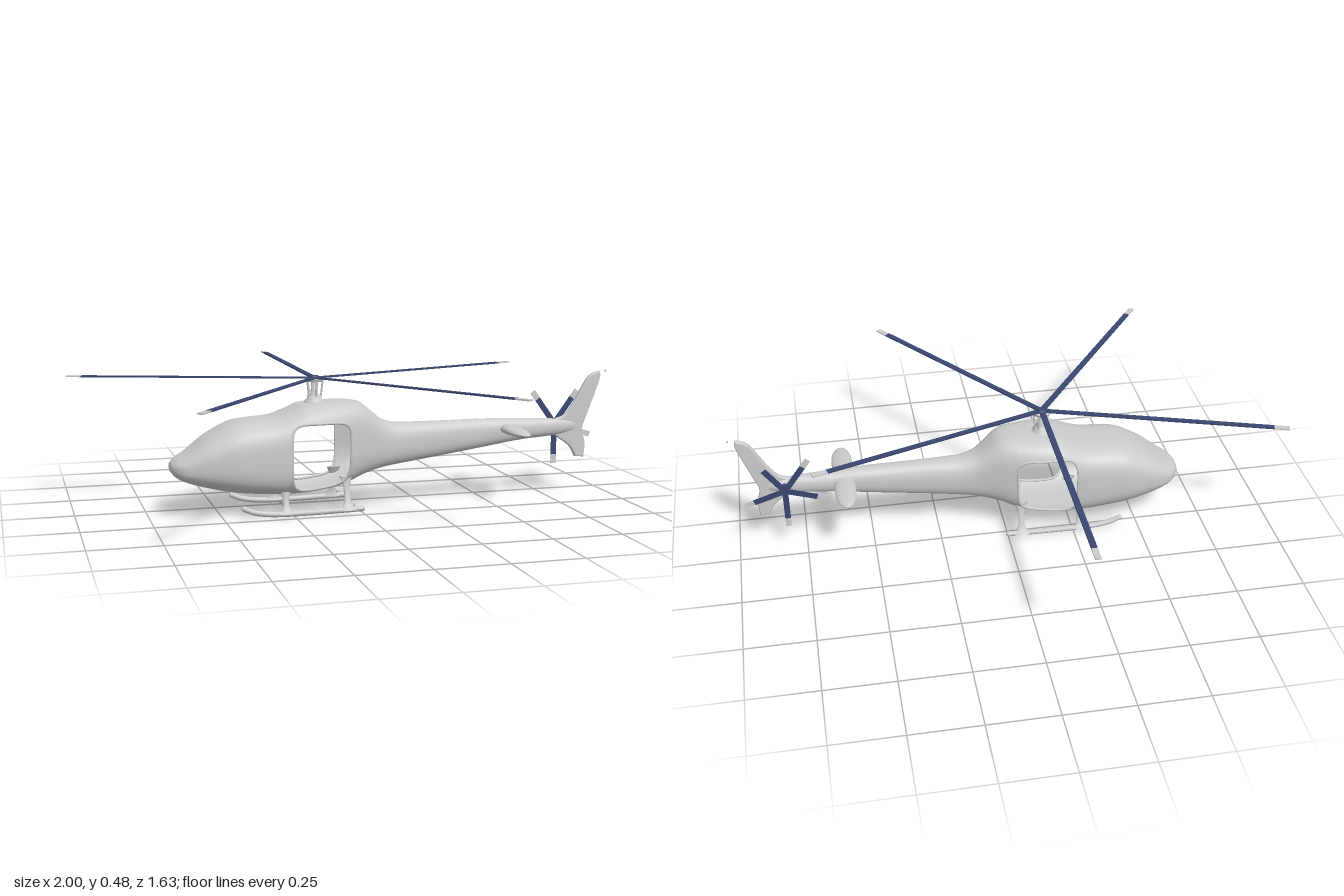
import * as THREE from 'three';
import { mergeGeometries, mergeVertices } from 'three/addons/utils/BufferGeometryUtils.js';

const grey = new THREE.MeshStandardMaterial({ color: 0xcccccc });
const shell = new THREE.MeshStandardMaterial({ color: 0xcccccc, side: THREE.DoubleSide });
const blue = new THREE.MeshStandardMaterial({ color: 0x3a4670 });
const CZ = 0.087; // centre plane of the fuselage

// Fuselage stations: x, bottom, top, half width, squareness
const STATIONS = [
  [-0.67, 0.16, 0.19, 0.04, 2.4], [-0.655, 0.142, 0.205, 0.07, 2.5], [-0.62, 0.124, 0.225, 0.1, 2.6],
  [-0.53, 0.098, 0.29, 0.133, 2.8], [-0.43, 0.079, 0.333, 0.147, 3], [-0.3, 0.069, 0.345, 0.147, 3.3],
  [-0.25, 0.068, 0.362, 0.146, 3.4], [-0.19, 0.07, 0.385, 0.143, 3.5], [-0.12, 0.078, 0.391, 0.136, 3.5],
  [-0.04, 0.095, 0.392, 0.119, 3.4], [0.01, 0.115, 0.387, 0.102, 3.2], [0.06, 0.13, 0.352, 0.083, 3],
  [0.11, 0.141, 0.314, 0.067, 2.8], [0.17, 0.149, 0.301, 0.057, 2.6], [0.3, 0.166, 0.3, 0.046, 2.5],
  [0.5, 0.194, 0.3, 0.039, 2.4], [0.65, 0.215, 0.295, 0.033, 2.3], [0.8, 0.227, 0.288, 0.022, 2.2],
  [0.87, 0.238, 0.28, 0.012, 2],
];

// Smooth interpolation between stations
function section(x) {
  const S = STATIONS, last = S.length - 1;
  let i = 0;
  while (i < last - 1 && x > S[i + 1][0]) i++;
  const h = S[i + 1][0] - S[i][0], t = (x - S[i][0]) / h;
  const slope = (k, c) => {
    if (k === 0 || k === last) return (S[i + 1][c] - S[i][c]) / h;
    const a = (S[k][c] - S[k - 1][c]) / (S[k][0] - S[k - 1][0]);
    const b = (S[k + 1][c] - S[k][c]) / (S[k + 1][0] - S[k][0]);
    return a * b <= 0 ? 0 : (2 * a * b) / (a + b);
  };
  return [1, 2, 3, 4].map((c) =>
    S[i][c] * (1 + 2 * t) * (1 - t) ** 2 + S[i + 1][c] * t * t * (3 - 2 * t) +
    h * (slope(i, c) * t * (1 - t) ** 2 - slope(i + 1, c) * t * t * (1 - t)));
}

function gridGeometry(rows) {
  const n = rows[0].length, index = [];
  for (let i = 0; i < rows.length - 1; i++) {
    for (let j = 0; j < n - 1; j++) {
      const a = i * n + j, b = a + n;
      index.push(a, b, b + 1, a, b + 1, a + 1);
    }
  }
  const g = new THREE.BufferGeometry().setFromPoints(rows.flat());
  g.setIndex(index);
  return g;
}

function add(parent, name, geometry, material = grey, x = 0, y = 0, z = 0) {
  const m = new THREE.Mesh(geometry, material);
  m.name = name;
  m.position.set(x, y, z);
  parent.add(m);
  return m;
}

// Hull skin in an upper and a lower half that part around the doorway
function fuselage(group) {
  const X0 = -0.26, X1 = -0.038, mid = (X0 + X1) / 2, half = (X1 - X0) / 2;
  const xs = [];
  for (let i = 0; i < 30; i++) xs.push(-0.67 + ((X0 + 0.67) * (i / 30) ** 1.4));
  for (let i = 0; i <= 28; i++) xs.push(mid - half * Math.cos((i / 28) * Math.PI));
  for (let i = 1; i <= 48; i++) xs.push(X1 + ((0.87 - X1) * i) / 48);
  const upper = [], lower = [], rimTop = [], rimBottom = [], N = 32;
  for (const x of xs) {
    const [bot, top, hw, n] = section(x);
    const cy = (bot + top) / 2, hy = (top - bot) / 2;
    const u = Math.min(1, Math.abs((x - mid) / half));
    const open = u > 0.99999 ? 0 : (1 - u ** 5) ** (1 / 5);
    const angle = (d) => Math.asin(Math.min(1, d / hy) ** (n / 2));
    const a = angle((0.328 - cy) * open > 0 ? (0.328 - cy) * open : 0);
    const b = angle((cy - bot - 0.018) * open > 0 ? (cy - bot - 0.018) * open : 0);
    const point = (t) => {
      const s = Math.sin(t), c = Math.cos(t);
      return new THREE.Vector3(x, cy + hy * Math.sign(s) * Math.abs(s) ** (2 / n),
        CZ + hw * Math.sign(c) * Math.abs(c) ** (2 / n));
    };
    const arc = (t0, t1) => Array.from({ length: N + 1 }, (_, j) => point(t0 + ((t1 - t0) * j) / N));
    upper.push(arc(a, Math.PI - a));
    lower.push(arc(Math.PI + b, 2 * Math.PI - b));
    if (u < 1) {
      rimTop.push(point(a));
      rimBottom.push(point(-b));
    }
  }
  // Nose and tail caps close the loft to a point
  for (const rows of [upper, lower]) {
    const first = new THREE.Vector3(-0.673, 0.175, CZ), end = new THREE.Vector3(0.875, 0.259, CZ);
    rows.unshift(rows[0].map(() => first.clone()));
    rows.push(rows[0].map(() => end.clone()));
  }
  const skin = mergeVertices(mergeGeometries([gridGeometry(upper), gridGeometry(lower)]), 1e-5);
  skin.computeVertexNormals();
  add(group, 'fuselage', skin, shell);

  // Door frames
  const loop = [...rimTop, ...rimBottom.reverse()];
  for (const side of [1, -1]) {
    const pts = loop.map((p) => new THREE.Vector3(p.x, p.y, CZ + side * (p.z - CZ - 0.003)));
    add(group, side > 0 ? 'leftDoorFrame' : 'rightDoorFrame',
      new THREE.TubeGeometry(new THREE.CatmullRomCurve3(pts, true), 120, 0.005, 8, true));
  }
}

function tailSurfaces(group) {
  // Swept upper and lower fin
  const s = new THREE.Shape();
  s.moveTo(0.8, 0.225);
  s.lineTo(0.8, 0.285);
  s.splineThru([[0.835, 0.3], [0.87, 0.345], [0.918, 0.428], [0.94, 0.45], [0.966, 0.459]].map((p) => new THREE.Vector2(...p)));
  s.splineThru([[0.964, 0.43], [0.92, 0.31], [0.9, 0.25], [0.911, 0.19], [0.908, 0.142]].map((p) => new THREE.Vector2(...p)));
  s.lineTo(0.88, 0.144);
  s.splineThru([[0.855, 0.185], [0.8, 0.225]].map((p) => new THREE.Vector2(...p)));
  add(group, 'tailFin', new THREE.ExtrudeGeometry(s, {
    depth: 0.006, bevelSize: 0.005, bevelThickness: 0.007, bevelSegments: 3, curveSegments: 20,
  }), grey, 0, 0, CZ - 0.003);
  add(group, 'tailLight', new THREE.SphereGeometry(0.004, 8, 6), grey, 0.996, 0.465, CZ);

  // Horizontal stabilizer with rounded tips
  const g = new THREE.SphereGeometry(1, 28, 32);
  const p = g.attributes.position;
  for (let i = 0; i < p.count; i++) {
    const v = p.getY(i), r = Math.sqrt(Math.max(0, 1 - v * v));
    const k = r > 1e-6 ? Math.sqrt(Math.max(0, 1 - v ** 6)) / r : 0;
    const chord = 0.034 + 0.005 * Math.sin(Math.PI * Math.abs(v));
    p.setXYZ(i, p.getX(i) * k * chord, v * 0.197, p.getZ(i) * k * (0.021 - 0.009 * Math.abs(v)));
  }
  g.rotateX(Math.PI / 2);
  g.computeVertexNormals();
  add(group, 'stabilizer', g, grey, 0.595, 0.262, CZ + 0.004).rotation.z = -0.08;
}

// Five blades with pale tips, turning about the group's z axis
function rotor(name, radius, width, thickness, tip) {
  const r = new THREE.Group();
  r.name = name;
  for (let i = 0; i < 5; i++) {
    const blade = new THREE.Group();
    blade.name = 'blade';
    blade.rotation.z = -Math.PI / 2 + (i * Math.PI * 2) / 5;
    add(blade, 'bladeSpar', new THREE.BoxGeometry(radius - tip, width, thickness), blue, (radius - tip) / 2);
    add(blade, 'bladeTip', new THREE.BoxGeometry(tip, width, thickness), grey, radius - tip / 2);
    r.add(blade);
  }
  return r;
}

function rotors(group) {
  const main = rotor('mainRotor', 0.9, 0.021, 0.005, 0.055);
  main.rotation.x = Math.PI / 2;
  main.rotation.y = 0;
  main.position.set(-0.144, 0.475, 0.08);
  main.scale.y = 1;
  group.add(main);

  // Mast, swashplate and control rods
  const hub = new THREE.Group();
  hub.name = 'rotorHub';
  hub.position.set(-0.144, 0, 0.08);
  const profile = [[0.038, 0.385], [0.034, 0.395], [0.026, 0.4], [0.026, 0.41], [0.014, 0.416], [0.011, 0.465], [0, 0.465]];
  add(hub, 'mast', new THREE.LatheGeometry(profile.map((q) => new THREE.Vector2(...q)), 24));
  add(hub, 'hubPlate', new THREE.CylinderGeometry(0.034, 0.03, 0.01, 20), grey, 0, 0.467);
  add(hub, 'hubCap', new THREE.CylinderGeometry(0.014, 0.02, 0.008, 16), blue, 0, 0.479);
  for (let i = 0; i < 5; i++) {
    const a = (i * Math.PI * 2) / 5 + 0.3;
    const path = new THREE.LineCurve3(new THREE.Vector3(0.023 * Math.cos(a), 0.405, 0.023 * Math.sin(a)),
      new THREE.Vector3(0.03 * Math.cos(a), 0.466, 0.03 * Math.sin(a)));
    add(hub, 'controlRod', new THREE.TubeGeometry(path, 1, 0.0035, 6));
  }
  group.add(hub);

  const tail = rotor('tailRotor', 0.155, 0.021, 0.004, 0.035);
  tail.position.set(0.812, 0.261, 0.038);
  group.add(tail);
  add(group, 'tailRotorShaft', new THREE.CylinderGeometry(0.013, 0.013, 0.045, 16), blue, 0.812, 0.261, 0.06).rotation.x = Math.PI / 2;
}

// Skid runners with upturned toes and flared struts
function landingGear(group) {
  for (const side of [1, -1]) {
    const gear = new THREE.Group();
    gear.name = side > 0 ? 'leftSkid' : 'rightSkid';
    const z = CZ + side * 0.122;
    const path = new THREE.CatmullRomCurve3([[-0.43, 0.037], [-0.4, 0.024], [-0.34, 0.013], [-0.2, 0.01], [0, 0.014]]
      .map(([x, y]) => new THREE.Vector3(x, y, z)));
    add(gear, 'runner', new THREE.TubeGeometry(path, 40, 0.01, 10));
    for (const t of [0, 1]) {
      const e = path.getPoint(t);
      add(gear, 'runnerEnd', new THREE.SphereGeometry(0.01, 10, 8), grey, e.x, e.y, e.z);
    }
    for (const [x, top] of [[-0.277, 0.095], [-0.052, 0.13]]) {
      const prof = [[0.036, 0], [0.02, 0.1], [0.012, 0.28], [0.011, 0.55], [0.015, 0.8], [0.026, 1]];
      const g = new THREE.LatheGeometry(prof.map(([r, v]) => new THREE.Vector2(r, 0.012 + v * (top - 0.012))), 16);
      const p = g.attributes.position;
      for (let i = 0; i < p.count; i++) {
        const lean = (p.getY(i) - 0.012) * 0.3;
        p.setZ(i, p.getZ(i) * 0.5 - side * lean);
      }
      g.computeVertexNormals();
      add(gear, 'strut', g, shell, x, 0, z);
    }
    group.add(gear);
  }
}

export function createModel() {
  const group = new THREE.Group();
  group.name = 'helicopter';
  fuselage(group);
  tailSurfaces(group);
  rotors(group);
  landingGear(group);
  return group;
}
